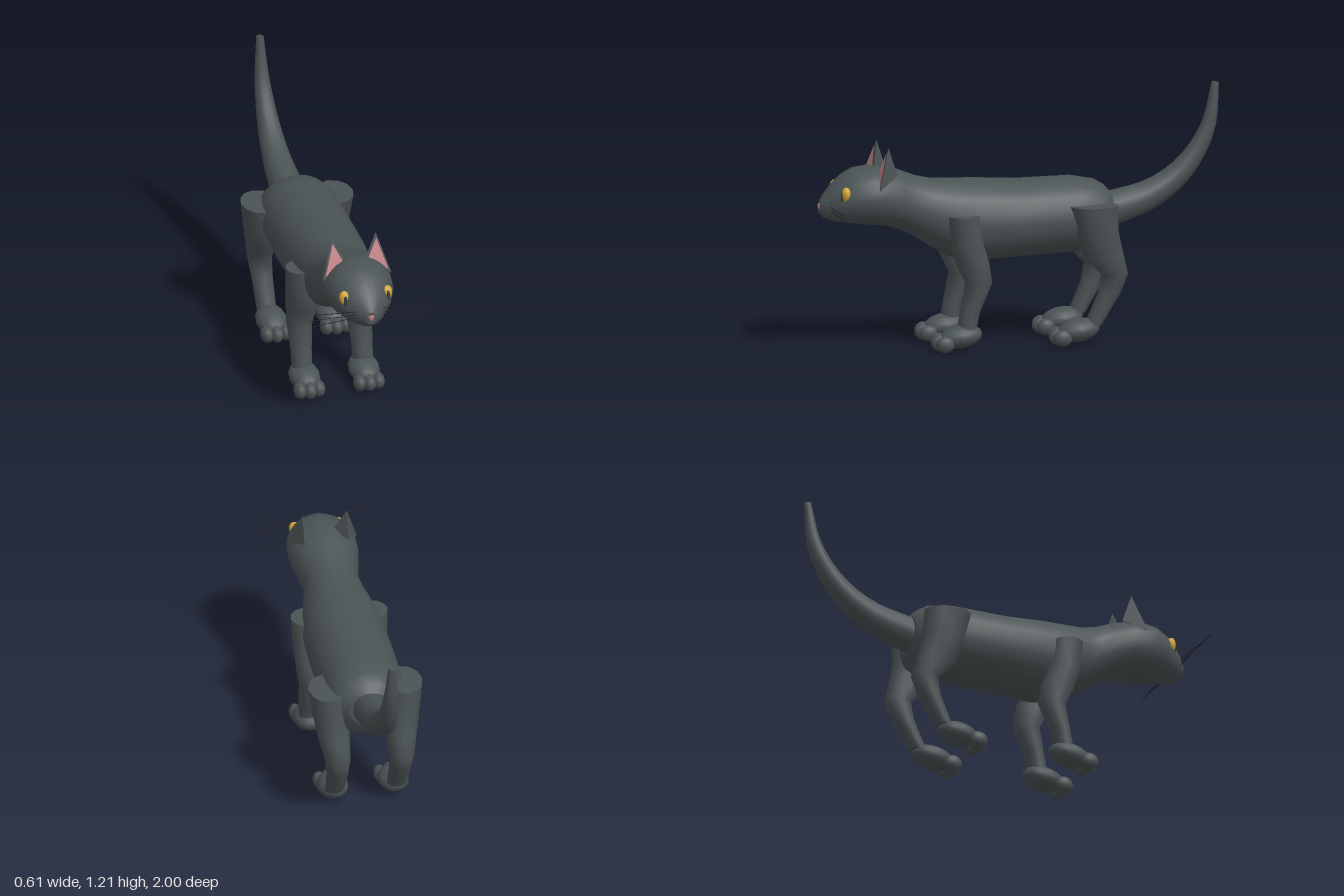
import * as THREE from 'three';
import { ConvexGeometry } from 'three/addons/geometries/ConvexGeometry.js';

const V = (x, y, z) => new THREE.Vector3(x, y, z);
const mat = (name, color) => {
  const m = new THREE.MeshStandardMaterial({ color });
  m.name = name;
  return m;
};

// Skin a row of elliptical rings {c, u, v}; u x v points along the row. Ends are flat caps.
function loft(rings, sides) {
  const pos = [], idx = [];
  const addRing = (r) => {
    for (let j = 0; j < sides; j++) {
      const a = (j / sides) * Math.PI * 2;
      const p = r.c.clone().addScaledVector(r.u, Math.cos(a)).addScaledVector(r.v, Math.sin(a));
      pos.push(p.x, p.y, p.z);
    }
  };
  rings.forEach(addRing);
  for (let i = 0; i < rings.length - 1; i++) {
    for (let j = 0; j < sides; j++) {
      const k = (j + 1) % sides;
      const a = i * sides + j, b = i * sides + k, c = a + sides, d = b + sides;
      idx.push(a, b, c, b, d, c);
    }
  }
  for (const [r, end] of [[rings[0], false], [rings[rings.length - 1], true]]) {
    const s = pos.length / 3;
    addRing(r);
    pos.push(r.c.x, r.c.y, r.c.z);
    for (let j = 0; j < sides; j++) {
      const a = s + j, b = s + (j + 1) % sides, m = s + sides;
      if (end) idx.push(a, b, m); else idx.push(b, a, m);
    }
  }
  const g = new THREE.BufferGeometry();
  g.setAttribute('position', new THREE.Float32BufferAttribute(pos, 3));
  g.setIndex(idx);
  g.computeVertexNormals();
  return g;
}

export function createModel() {
  const model = new THREE.Group();
  model.name = 'cat';
  const fur = mat('greyFur', 0x4b5355);
  const pink = mat('pinkSkin', 0xc9868a);
  const gold = mat('goldEye', 0xd2a632);
  const slit = mat('darkPupil', 0x363d42);
  const black = mat('blackWhisker', 0x1c1e1f);

  const add = (name, geo, material, parent = model) => {
    const m = new THREE.Mesh(geo, material);
    m.name = name;
    parent.add(m);
    return m;
  };
  const ball = (name, material, c, r, parent) => {
    const m = add(name, new THREE.SphereGeometry(1, 14, 10), material, parent);
    m.position.set(...c);
    m.scale.set(...r);
    return m;
  };

  // Body, neck and head: z, top, bottom, half width
  const body = [
    [-0.46, 0.71, 0.53, 0.10], [-0.43, 0.745, 0.46, 0.155], [-0.38, 0.775, 0.435, 0.185],
    [-0.28, 0.795, 0.43, 0.198], [0, 0.795, 0.42, 0.2], [0.2, 0.81, 0.412, 0.195],
    [0.32, 0.815, 0.43, 0.18], [0.42, 0.82, 0.485, 0.152], [0.5, 0.838, 0.54, 0.133],
    [0.58, 0.87, 0.582, 0.148], [0.66, 0.892, 0.605, 0.166], [0.73, 0.898, 0.612, 0.169],
    [0.8, 0.89, 0.62, 0.157], [0.86, 0.86, 0.63, 0.13], [0.91, 0.815, 0.638, 0.095],
    [0.95, 0.77, 0.655, 0.055], [0.972, 0.74, 0.675, 0.026],
  ];
  add('bodyAndHead', loft(body.map(([z, t, b, w]) => (
    { c: V(0, (t + b) / 2, z), u: V(w, 0, 0), v: V(0, (t - b) / 2, 0) })), 20), fur);

  // Tail tapering along a curve
  const curve = new THREE.CatmullRomCurve3([
    V(0, 0.61, -0.40), V(0, 0.635, -0.5), V(0, 0.68, -0.65), V(0, 0.76, -0.78),
    V(0, 0.87, -0.88), V(0, 1.01, -0.95), V(0, 1.21, -0.982)]);
  const tail = [];
  for (let i = 0; i <= 14; i++) {
    const t = i / 14, r = 0.088 - 0.07 * Math.pow(t, 1.15);
    const u = V(1, 0, 0), d = curve.getTangentAt(t);
    tail.push({ c: curve.getPointAt(t), u: u.clone().multiplyScalar(r), v: d.cross(u).multiplyScalar(r) });
  }
  add('tail', loft(tail, 14), fur);

  // Leg sections from the top down: x, y, z, half width, half depth
  const frontLeg = [
    [0.16, 0.66, 0.303, 0.075, 0.076], [0.155, 0.52, 0.285, 0.074, 0.08],
    [0.145, 0.42, 0.255, 0.076, 0.082], [0.147, 0.33, 0.226, 0.064, 0.066],
    [0.15, 0.2, 0.268, 0.053, 0.049], [0.15, 0.09, 0.29, 0.05, 0.046],
  ];
  const hindLeg = [
    [0.185, 0.68, -0.335, 0.09, 0.118], [0.172, 0.55, -0.352, 0.088, 0.105],
    [0.162, 0.43, -0.385, 0.076, 0.1], [0.155, 0.34, -0.442, 0.062, 0.066],
    [0.152, 0.25, -0.417, 0.053, 0.056], [0.15, 0.1, -0.338, 0.048, 0.042],
  ];

  for (const s of [1, -1]) {
    const side = s > 0 ? 'left' : 'right';

    // Legs, paws and toes
    for (const [name, rows, pawZ] of [['FrontLeg', frontLeg, 0.315], ['HindLeg', hindLeg, -0.265]]) {
      const leg = new THREE.Group();
      leg.name = side + name;
      model.add(leg);
      add('limb', loft(rows.map(([x, y, z, w, d]) => (
        { c: V(x * s, y, z), u: V(w, 0, 0), v: V(0, 0, d) })), 12), fur, leg);
      const paw = ball('paw', fur, [0.147 * s, 0.075, pawZ], [0.075, 0.056, 0.105], leg);
      paw.rotation.x = 0.15;
      [-0.046, 0, 0.046].forEach((dx, i) => ball('toe', fur,
        [0.147 * s + dx, 0.047, pawZ + (i === 1 ? 0.1 : 0.088)], [0.031, 0.04, 0.046], leg));
    }

    // Ear wedge with a pink front panel
    const ear = new THREE.Group();
    ear.name = side + 'Ear';
    model.add(ear);
    const front = [V(0.108, 0.997, 0.66), V(0.045, 0.87, 0.69), V(0.17, 0.8, 0.72)].map((p) => p.setX(p.x * s));
    add('earShell', new ConvexGeometry([...front, V(0.105 * s, 0.86, 0.615)]), fur, ear);
    const mid = V(0.106 * s, 0.887, 0.69);
    const panel = front.map((p) => p.clone().lerp(mid, 0.24).add(V(0, 0.001, 0.005)));
    add('innerEar', new ConvexGeometry([...panel, mid.clone().add(V(0, 0, -0.004))]), pink, ear);

    // Eye and slit pupil
    const eye = ball(side + 'Eye', gold, [0.102 * s, 0.779, 0.868], [0.028, 0.038, 0.024]);
    eye.rotation.z = -0.25 * s;
    ball(side + 'Pupil', slit, [0.105 * s, 0.774, 0.889], [0.009, 0.027, 0.006]);

    // Whiskers
    const hairs = [
      [V(0.06, 0.732, 0.93), V(0.288, 0.782, 0.999)],
      [V(0.06, 0.718, 0.935), V(0.305, 0.722, 0.942)],
      [V(0.06, 0.704, 0.935), V(0.268, 0.66, 0.89)],
    ];
    for (const [a, b] of hairs) {
      a.x *= s;
      b.x *= s;
      add(side + 'Whisker', new THREE.TubeGeometry(new THREE.LineCurve3(a, b), 1, 0.0018, 5), black);
    }
  }

  // Nose
  add('nose', new ConvexGeometry([
    V(-0.022, 0.725, 0.968), V(0.022, 0.725, 0.968), V(0, 0.695, 0.978), V(0, 0.722, 0.982), V(0, 0.712, 0.96),
  ]), pink);

  return model;
}
